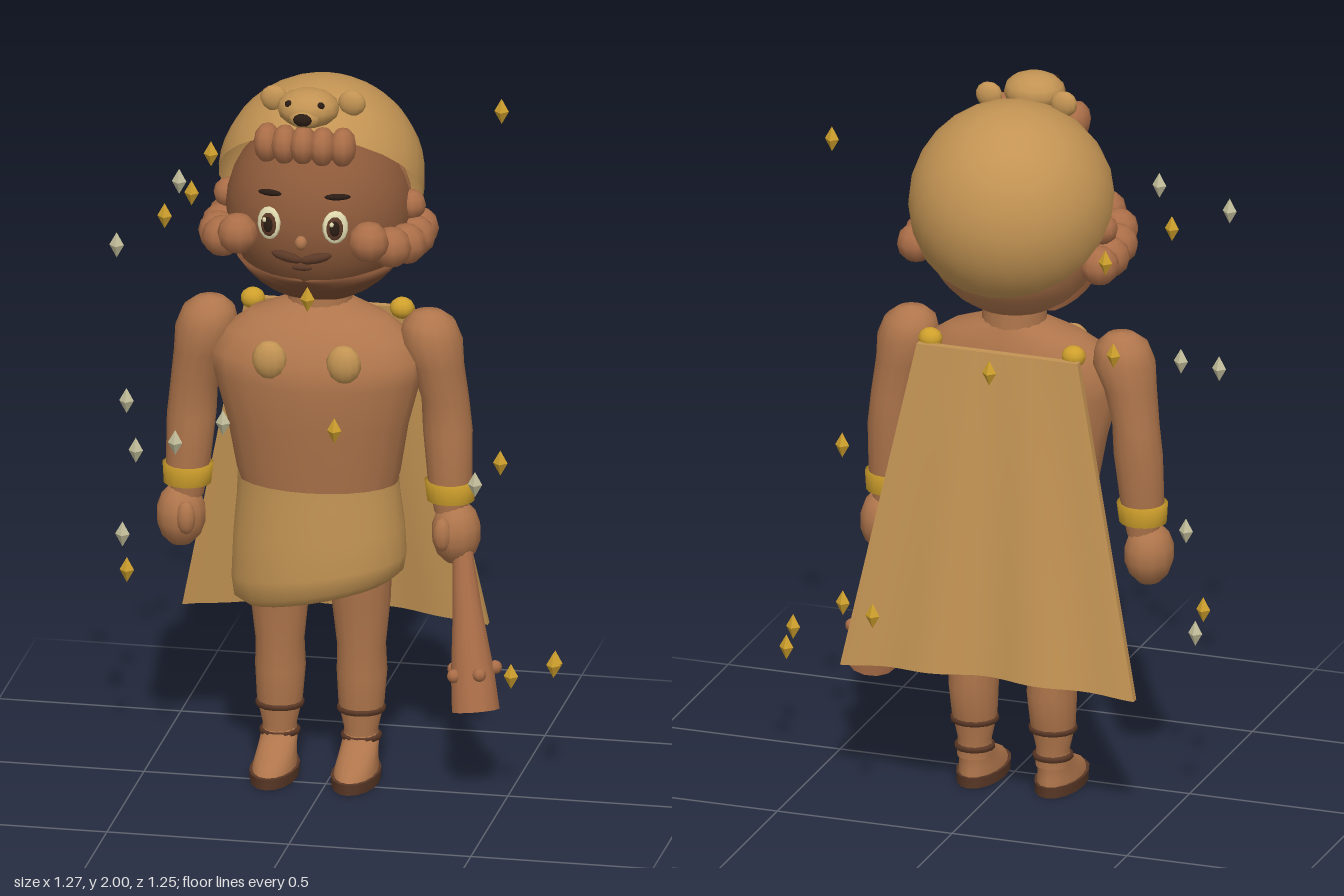
import * as THREE from 'three';

const mat = (name, color, side = THREE.FrontSide) => {
  const m = new THREE.MeshStandardMaterial({ color, side });
  m.name = name;
  return m;
};

// Closed loops stacked from bottom to top: [y, radiusX, radiusZ, centreZ, centreX].
// Repeating a section makes a sharp edge.
function loft(sections, n = 16, side = 1) {
  const pos = [], idx = [];
  sections.forEach(([y, rx, rz, cz = 0, cx = 0], i) => {
    for (let j = 0; j < n; j++) {
      const a = (j / n) * Math.PI * 2;
      pos.push(cx * side + rx * Math.sin(a), y, cz + rz * Math.cos(a));
      if (i === 0) continue;
      const p = (i - 1) * n + j, q = (i - 1) * n + ((j + 1) % n);
      idx.push(p, q, q + n, p, q + n, p + n);
    }
  });
  const g = new THREE.BufferGeometry();
  g.setAttribute('position', new THREE.Float32BufferAttribute(pos, 3));
  g.setIndex(idx);
  g.computeVertexNormals();
  return g;
}

// Moves every vertex by a rule
function warp(g, rule) {
  const p = g.attributes.position, v = new THREE.Vector3();
  for (let i = 0; i < p.count; i++) {
    rule(v.fromBufferAttribute(p, i));
    p.setXYZ(i, v.x, v.y, v.z);
  }
  g.computeVertexNormals();
  return g;
}

export function createModel() {
  const skin = mat('skin', 0xb0764c);
  const faceSkin = mat('face brown', 0x8d5a3a);
  const beardBrown = mat('beard brown', 0x805033, THREE.DoubleSide);
  const curl = mat('curl brown', 0xab6e48);
  const hide = mat('tan hide', 0xc29353, THREE.DoubleSide);
  const gold = mat('gold', 0xcfa02c);
  const dark = mat('dark leather', 0x5a3826);
  const cream = mat('cream', 0xe2dbb0);
  const silver = mat('pale silver', 0xc4c09c);
  const black = mat('near black', 0x2a1c14);

  const root = new THREE.Group();
  root.name = 'caped warrior';
  const figure = new THREE.Group();
  figure.name = 'figure';
  figure.position.x = -0.037;
  root.add(figure);

  const add = (name, geo, m, parent = figure) => {
    const mesh = new THREE.Mesh(geo, m);
    mesh.name = name;
    parent.add(mesh);
    return mesh;
  };
  const ball = (name, m, p, r, seg = 12) => {
    const mesh = add(name, new THREE.SphereGeometry(1, seg, Math.max(6, seg * 0.6 | 0)), m);
    mesh.position.set(...p);
    mesh.scale.set(...(Array.isArray(r) ? r : [r, r, r]));
    return mesh;
  };

  // Torso and neck
  add('torso', loft([[0.6, 0, 0, -0.09], [0.62, 0.17, 0.11, -0.09], [0.8, 0.2, 0.135, -0.085],
    [0.88, 0.226, 0.145, -0.08], [1.02, 0.25, 0.156, -0.07], [1.15, 0.285, 0.164, -0.06],
    [1.21, 0.29, 0.156, -0.064], [1.27, 0.255, 0.138, -0.075], [1.315, 0.19, 0.11, -0.09],
    [1.345, 0.1, 0.088, -0.103], [1.36, 0.08, 0.08, -0.105]], 20), skin);
  add('neck', loft([[1.3, 0.09, 0.088, -0.105], [1.36, 0.088, 0.086, -0.105], [1.46, 0.085, 0.085, -0.105]]), skin);

  // Kilt with a slanted hem
  const kilt = loft([[0.525, 0.2, 0.135, -0.09], [0.55, 0.232, 0.163, -0.09], [0.6, 0.24, 0.17, -0.09],
    [0.7, 0.235, 0.165, -0.088], [0.8, 0.224, 0.155, -0.084], [0.85, 0.222, 0.15, -0.081]], 24);
  add('kilt', warp(kilt, v => { v.y += 0.2 * v.x * (0.85 - v.y) / 0.3; }), hide);

  // Cape: a thin slab flared and rippled towards the hem
  const cape = new THREE.BoxGeometry(2, 1, 0.022, 28, 8, 1);
  add('cape', warp(cape, v => {
    const s = v.x, t = 0.5 - v.y;
    v.x = s * (0.23 + 0.19 * t);
    v.y = 1.295 - 0.895 * t - 0.025 * t * s * s;
    v.z += -0.235 - 0.105 * t + 0.012 * t * Math.cos(s * 9) + 0.035 * t * s ** 4;
  }), hide);

  for (const s of [-1, 1]) {
    const side = s > 0 ? 'left' : 'right';

    // Arm, wristband and hand
    add(side + 'Arm', loft([[0.77, 0.045, 0.045, -0.09, 0.363], [0.86, 0.06, 0.06, -0.09, 0.36],
      [1.0, 0.067, 0.066, -0.1, 0.352], [1.09, 0.064, 0.068, -0.1, 0.345], [1.19, 0.072, 0.08, -0.09, 0.325],
      [1.26, 0.086, 0.09, -0.09, 0.307], [1.31, 0.07, 0.073, -0.09, 0.303], [1.335, 0.04, 0.04, -0.09, 0.3],
      [1.342, 0, 0, -0.09, 0.3]], 14, s), skin);
    add(side + 'Wristband', loft([[0.805, 0.05, 0.05, -0.09, 0.362], [0.805, 0.065, 0.06, -0.09, 0.362],
      [0.86, 0.07, 0.066, -0.09, 0.36], [0.86, 0.05, 0.05, -0.09, 0.36]], 16, s), gold);
    ball(side + 'Hand', skin, [s * 0.378, 0.715, -0.085], [0.068, 0.09, 0.076]);
    ball(side + 'Thumb', skin, [s * 0.352, 0.725, -0.022], [0.026, 0.048, 0.026], 10);

    // Leg, straps and sandal
    add(side + 'Leg', loft([[0.08, 0.048, 0.05, -0.11, 0.112], [0.13, 0.046, 0.05, -0.11, 0.112],
      [0.2, 0.062, 0.062, -0.112, 0.112], [0.29, 0.068, 0.076, -0.12, 0.112], [0.37, 0.066, 0.068, -0.113, 0.112],
      [0.5, 0.08, 0.078, -0.108, 0.112], [0.62, 0.086, 0.084, -0.1, 0.112], [0.78, 0.086, 0.086, -0.09, 0.11]], 14, s), skin);
    for (const [y, r] of [[0.187, 0.066], [0.108, 0.055]])
      add(side + 'Strap', loft([[y - 0.009, r - 0.01, r - 0.01, -0.111, 0.112], [y - 0.006, r, r, -0.111, 0.112],
        [y + 0.006, r, r, -0.111, 0.112], [y + 0.009, r - 0.01, r - 0.01, -0.111, 0.112]], 14, s), dark);
    add(side + 'Foot', loft([[0.028, 0.058, 0.118, -0.042, 0.112], [0.05, 0.056, 0.108, -0.05, 0.112],
      [0.075, 0.052, 0.08, -0.075, 0.112], [0.1, 0.05, 0.055, -0.105, 0.112], [0.12, 0.046, 0.048, -0.11, 0.112]], 16, s), skin);
    add(side + 'Sole', loft([[0, 0, 0, -0.04, 0.112], [0, 0.063, 0.126, -0.04, 0.112], [0, 0.063, 0.126, -0.04, 0.112],
      [0.03, 0.065, 0.128, -0.04, 0.112], [0.03, 0.065, 0.128, -0.04, 0.112], [0.03, 0, 0, -0.04, 0.112]], 16, s), dark);

    // Chest studs and shoulder clasps
    ball(side + 'ChestStud', hide, [s * 0.102, 1.228, 0.078], [0.048, 0.054, 0.032]);
    ball(side + 'Clasp', gold, [s * 0.205, 1.3, -0.205], [0.034, 0.03, 0.03]);

    // Curls from cheek to nape
    const curls = [[0.18, 1.6, 0.125, 0.056], [0.232, 1.572, 0.075, 0.056], [0.258, 1.558, 0, 0.056],
      [0.265, 1.552, -0.085, 0.056], [0.262, 1.552, -0.158, 0.054], [0.25, 1.635, -0.1, 0.042]];
    for (const [x, y, z, r] of curls) ball(side + 'Curl', curl, [s * x, y, z], r, 10);
  }

  // Head with a darker face and beard over its front half
  const C = new THREE.Vector3(0, 1.62, -0.1), R = 0.253;
  ball('head', skin, C.toArray(), 0.25, 24);
  const face = add('face', new THREE.SphereGeometry(R, 20, 16, 0, Math.PI), faceSkin);
  face.position.copy(C);
  const beard = new THREE.SphereGeometry(1, 24, 8, 0, Math.PI, 0, Math.PI);
  warp(beard, v => {
    const t = Math.acos(THREE.MathUtils.clamp(v.y, -1, 1)) / Math.PI;
    const len = Math.hypot(v.x, v.z);
    const cx = len > 1e-6 ? v.x / len : 0, cz = len > 1e-6 ? v.z / len : 1;
    const start = 1.97 + 0.2 * (1 - Math.min(1, Math.abs(cx) * 1.2));
    const th = start + (Math.PI - start) * t;
    v.set(cx * Math.sin(th), Math.cos(th), cz * Math.sin(th)).multiplyScalar(0.263);
    v.y = Math.max(v.y, -0.24);
  });
  add('beard', beard, beardBrown).position.copy(C);

  // Features rest on the face and look outward
  const feature = (name, m, x, y, r, lift = 0, roll = 0) => {
    const z = C.z + Math.sqrt(R * R - x * x - (y - C.y) ** 2);
    const mesh = ball(name, m, [x, y, z], r);
    const out = mesh.position.clone().sub(C).normalize();
    mesh.lookAt(mesh.position.clone().add(out));
    mesh.rotateZ(roll);
    mesh.position.addScaledVector(out, lift);
  };
  for (const s of [-1, 1]) {
    feature('eyeWhite', cream, s * 0.09, 1.64, [0.036, 0.046, 0.01], 0.003);
    feature('iris', dark, s * 0.088, 1.638, [0.025, 0.034, 0.008], 0.008);
    feature('pupil', black, s * 0.087, 1.638, [0.015, 0.022, 0.006], 0.013);
    feature('eyeGlint', cream, s * 0.087 - 0.008, 1.65, [0.006, 0.007, 0.004], 0.018);
    feature('eyebrow', black, s * 0.092, 1.718, [0.037, 0.009, 0.009], 0.003, s * -0.06);
    feature('moustache', dark, s * 0.038, 1.553, [0.045, 0.014, 0.014], 0.008, s * 0.22);
  }
  feature('nose', skin, 0, 1.595, [0.017, 0.02, 0.018], 0.004);
  feature('mouth', dark, 0, 1.522, [0.028, 0.008, 0.008], 0.008);

  // Hood: half a sphere tipped back
  const hood = add('hood', new THREE.SphereGeometry(0.28, 24, 12, 0, Math.PI * 2, 0, Math.PI * 0.52), hide);
  hood.position.set(0, 1.69, -0.125);
  hood.rotation.x = -Math.PI / 4;

  // Fringe of curls under the beast head
  for (let i = -2; i <= 2; i++)
    ball('fringeCurl', curl, [i * 0.052, 1.865 - Math.abs(i) * 0.004, 0.125 - i * i * 0.006], [0.037, 0.054, 0.052], 10);

  // Beast head on top of the hood
  ball('beastHead', hide, [0, 1.947, 0.055], [0.085, 0.053, 0.076], 14);
  ball('beastMuzzle', hide, [0, 1.935, 0.105], [0.045, 0.03, 0.035]);
  ball('beastNose', black, [0, 1.938, 0.135], [0.026, 0.018, 0.013], 10);
  for (const s of [-1, 1]) {
    ball('beastEar', hide, [s * 0.107, 1.945, -0.01], [0.038, 0.036, 0.022]);
    ball('beastEye', black, [s * 0.044, 1.97, 0.103], 0.011, 8);
  }

  // Club held in the left hand
  const club = new THREE.Group();
  club.name = 'club';
  const top = new THREE.Vector3(0.385, 0.78, -0.085), end = new THREE.Vector3(0.455, 0.25, 0.03);
  club.position.copy(end);
  club.quaternion.setFromUnitVectors(new THREE.Vector3(0, 1, 0), top.clone().sub(end).normalize());
  figure.add(club);
  add('clubShaft', loft([[0, 0, 0], [0, 0.066, 0.066], [0, 0.066, 0.066], [0.1, 0.06, 0.06], [0.25, 0.043, 0.043],
    [0.4, 0.03, 0.03], [0.54, 0.028, 0.028], [0.54, 0, 0]], 12), curl, club);
  for (let i = 0; i < 5; i++) {
    const a = i * Math.PI * 0.4 + 0.5;
    const knob = add('clubKnob', new THREE.SphereGeometry(0.019, 8, 6), curl, club);
    knob.position.set(Math.sin(a) * 0.062, 0.1 + (i % 2) * 0.012, Math.cos(a) * 0.062);
  }

  // Floating sparkles
  const spark = new THREE.OctahedronGeometry(1).scale(0.02, 0.036, 0.02);
  const scatter = (name, m, points) => points.forEach(p => add(name, spark, m, root).position.set(...p));
  scatter('goldSparkle', gold, [[0.43, 1.86, -0.26], [-0.39, 1.645, -0.365], [-0.435, 1.605, 0.04],
    [-0.483, 1.46, -0.56], [0.057, 1.57, 0.53], [0.145, 1.225, 0.6], [0.46, 0.915, -0.095], [-0.557, 0.555, -0.05],
    [0.53, 0.38, 0.105], [0.613, 0.36, -0.06], [0.6, 0.335, -0.15], [-0.115, 1.35, -0.525], [0.19, 0.64, -0.605]]);
  scatter('silverSparkle', silver, [[-0.39, 1.715, 0.065], [-0.523, 1.59, 0.255], [-0.5, 1.14, 0.235],
    [-0.335, 1.085, 0.39], [-0.235, 1.095, 0.235], [0.49, 1.025, 0.395], [-0.565, 0.84, -0.21], [-0.615, 0.575, -0.275]]);

  return root;
}
